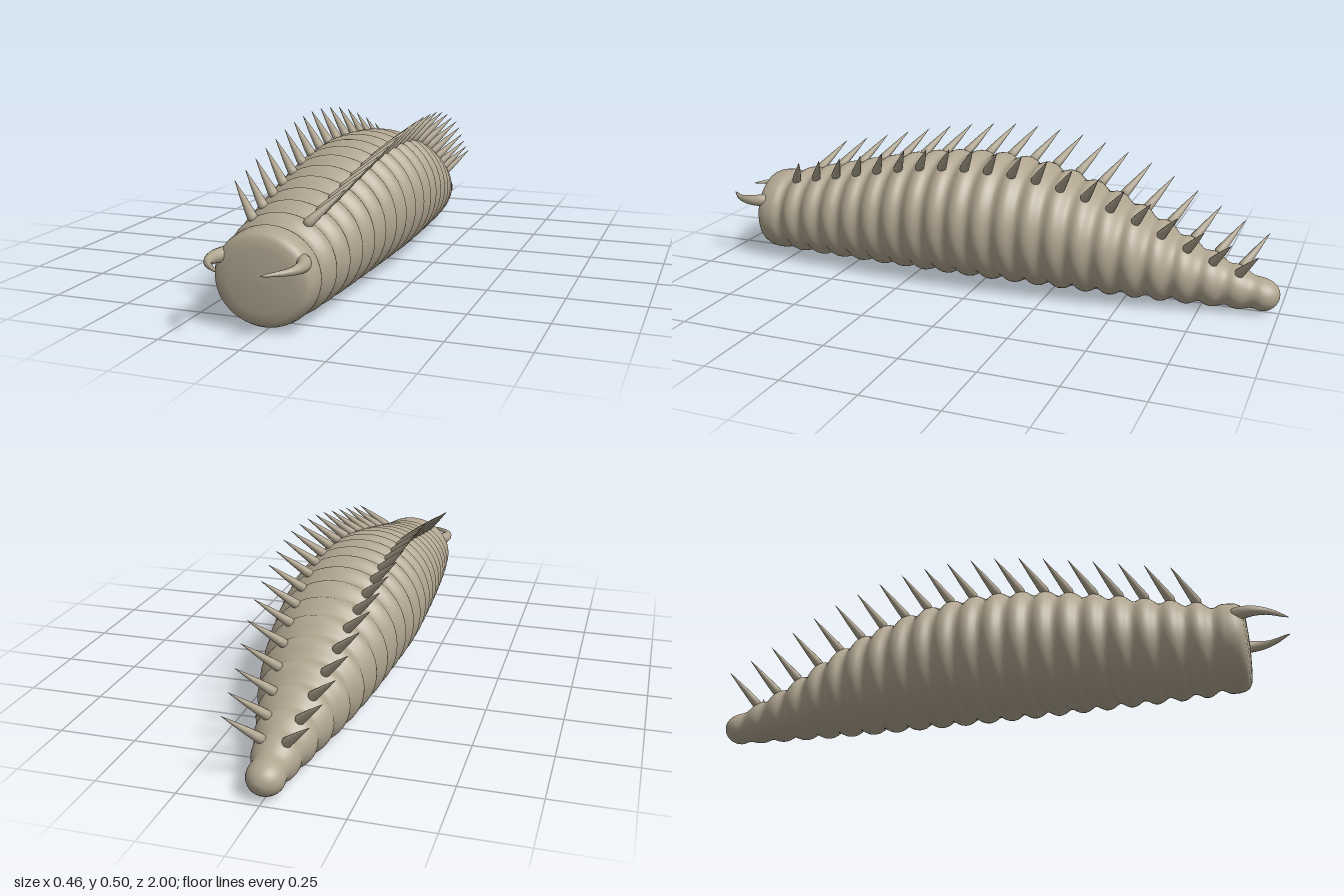
import * as THREE from 'three';

const skin = new THREE.MeshStandardMaterial({ color: 0xafa48f });
skin.name = 'taupe skin';

const PITCH = 0.0837, FIRST = 0.72, SPINES = 20;

// body profile, tail to head: z -> half width, top, bottom
const profile = new THREE.CubicInterpolant(
  [-1, -0.95, -0.9, -0.8, -0.7, -0.6, -0.5, -0.4, -0.2, 0, 0.2, 0.4, 0.6, 0.72, 0.8, 0.88],
  [
    0.056, 0.113, 0.01, 0.058, 0.115, 0.008, 0.066, 0.135, 0.006, 0.092, 0.175, 0.004,
    0.12, 0.222, 0.003, 0.15, 0.275, 0.002, 0.174, 0.325, 0.002, 0.193, 0.366, 0.002,
    0.217, 0.425, 0.002, 0.229, 0.444, 0.002, 0.22, 0.431, 0.002, 0.204, 0.392, 0.003,
    0.184, 0.345, 0.005, 0.17, 0.318, 0.007, 0.157, 0.302, 0.01, 0.156, 0.301, 0.011,
  ], 3);

function section(z) {
  const [w, top, bottom] = profile.evaluate(z);
  return { w, h: (top - bottom) / 2, cy: (top + bottom) / 2 };
}

// depth of the crease between two segments
function crease(z, w) {
  if (z > FIRST + PITCH || z < -0.953) return 0;
  const c = 0.5 - 0.5 * Math.cos((z - FIRST) / PITCH * Math.PI * 2);
  return Math.min(0.016, w * 0.12) * Math.pow(c, 1.3);
}

// smooth skin over closed rings of points
function loft(rings) {
  const n = rings[0].length, index = [];
  for (let i = 0; i < rings.length - 1; i++) {
    for (let j = 0; j < n; j++) {
      const k = (j + 1) % n;
      const a = i * n + j, b = i * n + k, c = a + n, d = b + n;
      index.push(a, c, b, b, c, d);
    }
  }
  const g = new THREE.BufferGeometry().setFromPoints(rings.flat());
  g.setIndex(index);
  g.computeVertexNormals();
  return g;
}

function bodyGeometry() {
  // stations as [z, scale]: flat face, segments, round tail tip
  const stations = [[0.87, 0.002], [0.869, 0.3], [0.866, 0.65], [0.861, 0.84], [0.852, 0.93], [0.838, 0.98], [0.82, 1]];
  for (let z = 0.81; z > -0.945; z -= PITCH / 10) stations.push([z, 1]);
  for (let i = 0; i <= 8; i++) {
    const a = i / 8 * Math.PI / 2;
    stations.push([-0.946 - 0.054 * Math.sin(a), Math.max(Math.cos(a), 0.002)]);
  }
  return loft(stations.map(([z, s]) => {
    const { w, h, cy } = section(z), d = crease(z, w);
    return Array.from({ length: 48 }, (_, j) => {
      const a = j / 48 * Math.PI * 2;
      return new THREE.Vector3(Math.cos(a) * (w - d) * s, cy + Math.sin(a) * (h - d) * s, z);
    });
  }));
}

// curved, tapering jaw hook
function jawGeometry(side) {
  const curve = new THREE.CatmullRomCurve3([
    [0.1, 0.216, 0.82], [0.128, 0.216, 0.85], [0.136, 0.216, 0.89], [0.122, 0.215, 0.935], [0.064, 0.214, 0.999],
  ].map(([x, y, z]) => new THREE.Vector3(x * side, y, z)));
  const up = new THREE.Vector3(0, 1, 0), rings = [];
  for (let i = 0; i <= 20; i++) {
    const t = i / 20, p = curve.getPoint(t);
    const out = curve.getTangent(t).cross(up).normalize();
    const r = 0.026 * Math.pow(1 - t, 0.7) + 0.001;
    rings.push(Array.from({ length: 12 }, (_, j) => {
      const a = j / 12 * Math.PI * 2;
      return p.clone().addScaledVector(out, Math.cos(a) * r).addScaledVector(up, Math.sin(a) * r);
    }));
  }
  return loft(rings);
}

export function createModel() {
  const model = new THREE.Group();
  const add = (name, geometry) => {
    const mesh = new THREE.Mesh(geometry, skin);
    mesh.name = name;
    model.add(mesh);
    return mesh;
  };

  add('segmentedBody', bodyGeometry());

  // slim spine with a slightly swollen foot, base at the origin
  const spine = new THREE.LatheGeometry([
    [0, -0.012], [0.012, -0.008], [0.016, 0.004], [0.0145, 0.025], [0.009, 0.08], [0.0005, 0.148],
  ].map(([x, y]) => new THREE.Vector2(x, y)), 12);
  const up = new THREE.Vector3(0, 1, 0);

  for (const side of [1, -1]) {
    const label = side > 0 ? 'left' : 'right';
    add(label + 'Jaw', jawGeometry(side));
    // one spine on each segment, leaning out and back
    const lean = new THREE.Vector3(0.09 * side, 0.092, -0.068).normalize();
    for (let i = 0; i < SPINES; i++) {
      const z = FIRST - i * PITCH, { w, h, cy } = section(z);
      const mesh = add(label + 'Spine' + (i + 1), spine);
      mesh.position.set(side * w * 0.5, cy + h * 0.85, z);
      mesh.quaternion.setFromUnitVectors(up, lean);
    }
  }
  return model;
}
